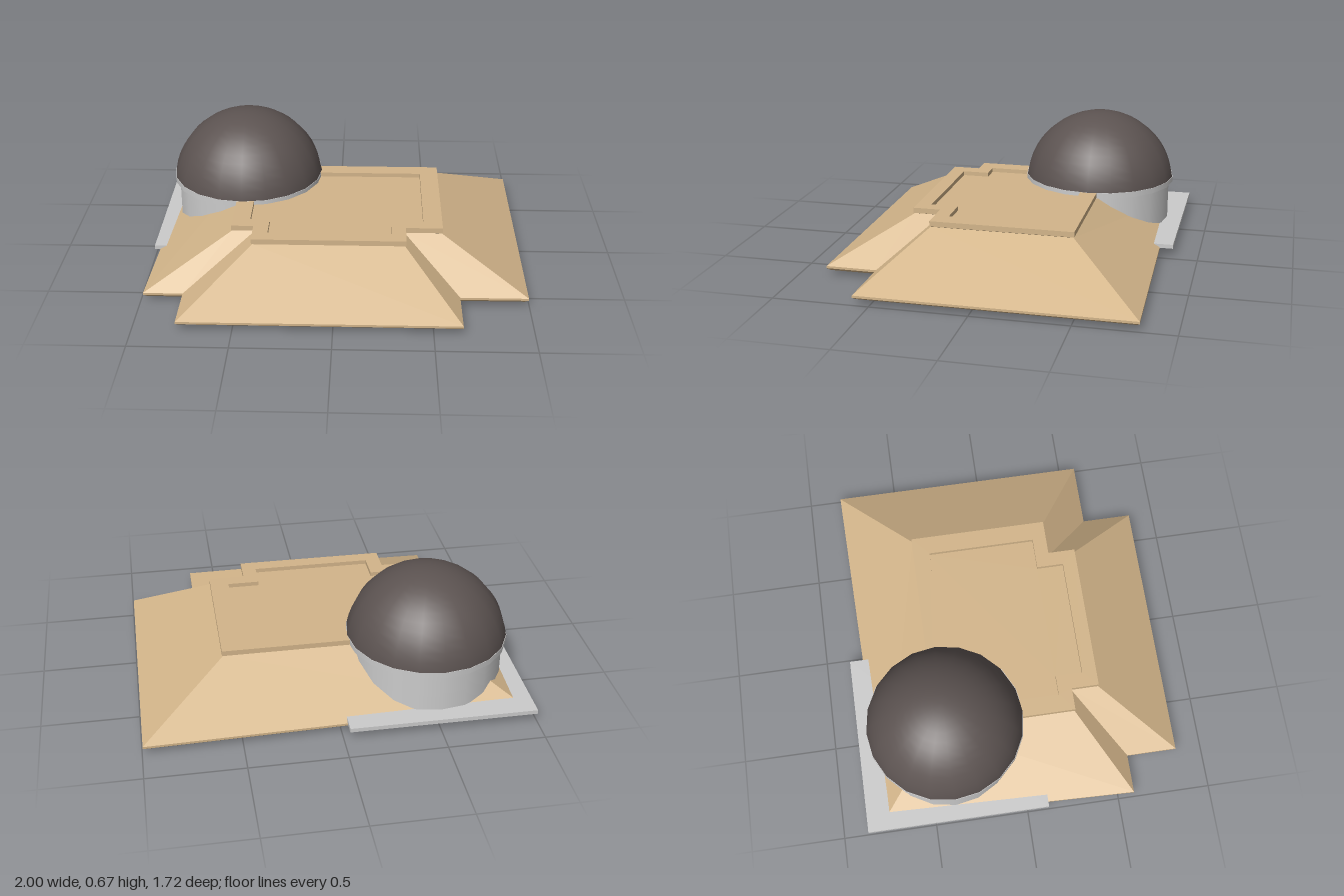
import * as THREE from 'three';

const tan = new THREE.MeshStandardMaterial({ color: 0xd3b58a, flatShading: true });
const grey = new THREE.MeshStandardMaterial({ color: 0xcccccc });
const dark = new THREE.MeshStandardMaterial({ color: 0x5c5351 });

// T-shaped plan outline; the front bay runs from xl to xr out to zBay
const plan = (x0, x1, zBack, zFront, xl, xr, zBay) => [
  [x0, zBack], [x1, zBack], [x1, zFront], [xr, zFront],
  [xr, zBay], [xl, zBay], [xl, zFront], [x0, zFront],
];

// Wall strips between successive outlines, each { pts, y }
function loft(rings) {
  const pos = [];
  for (let r = 0; r < rings.length - 1; r++) {
    const a = rings[r], b = rings[r + 1], n = a.pts.length;
    for (let i = 0; i < n; i++) {
      const j = (i + 1) % n;
      const P = (ring, k) => [ring.pts[k][0], ring.y, ring.pts[k][1]];
      pos.push(...P(a, i), ...P(b, j), ...P(a, j), ...P(a, i), ...P(b, i), ...P(b, j));
    }
  }
  const g = new THREE.BufferGeometry();
  g.setAttribute('position', new THREE.Float32BufferAttribute(pos, 3));
  g.computeVertexNormals();
  return g;
}

export function createModel() {
  const model = new THREE.Group();
  const add = (name, geometry, material, x = 0, y = 0, z = 0) => {
    const mesh = new THREE.Mesh(geometry, material);
    mesh.name = name;
    mesh.position.set(x, y, z);
    model.add(mesh);
  };

  const eave = plan(-0.985, 0.995, -0.82, 0.585, -0.78, 0.645, 0.855);
  eave[0] = [-0.94, -0.77]; // corner tucked in beneath the tower
  const sole = eave.map(([x, z]) => [x * 0.98, z * 0.98]);
  const keel = eave.map(([x]) => [THREE.MathUtils.clamp(x, -0.6, 0.5), 0]);
  const slopeTop = plan(-0.545, 0.555, -0.425, 0.315, -0.425, 0.36, 0.46);
  const rim = plan(-0.55, 0.56, -0.43, 0.32, -0.432, 0.367, 0.467);
  const recess = plan(-0.455, 0.46, -0.34, 0.245, -0.352, 0.29, 0.39);

  // Sloped body, from the shallow underside up to the parapet
  add('slopedBase', loft([
    { pts: keel, y: 0 }, { pts: sole, y: 0.025 }, { pts: eave, y: 0.038 },
    { pts: eave, y: 0.05 }, { pts: slopeTop, y: 0.277 },
  ]), tan);
  add('parapet', loft([
    { pts: slopeTop, y: 0.277 }, { pts: rim, y: 0.28 }, { pts: rim, y: 0.308 },
    { pts: recess, y: 0.308 }, { pts: recess, y: 0.285 },
  ]), tan);

  // Sunken roof floor
  const floor = new THREE.Shape(recess.map(([x, z]) => new THREE.Vector2(x, -z)));
  add('roofFloor', new THREE.ShapeGeometry(floor).rotateX(-Math.PI / 2), tan, 0, 0.285, 0);

  // Corner slab and round tower
  const cx = -0.52, cz = -0.38;
  add('towerSlab', new THREE.BoxGeometry(0.97, 0.022, 0.98), grey, -0.515, 0.058, -0.375);
  add('towerDrum', new THREE.CylinderGeometry(0.4, 0.4, 0.23, 20), grey, cx, 0.17, cz);
  add('towerRim', new THREE.CylinderGeometry(0.422, 0.422, 0.03, 20), grey, cx, 0.293, cz);

  // Dome: a sphere cut just above its middle
  const R = 0.424, lift = 0.062;
  add('dome', new THREE.SphereGeometry(R, 20, 12, 0, Math.PI * 2, 0, Math.acos(lift / R)),
    dark, cx, 0.308 - lift, cz);

  return model;
}
